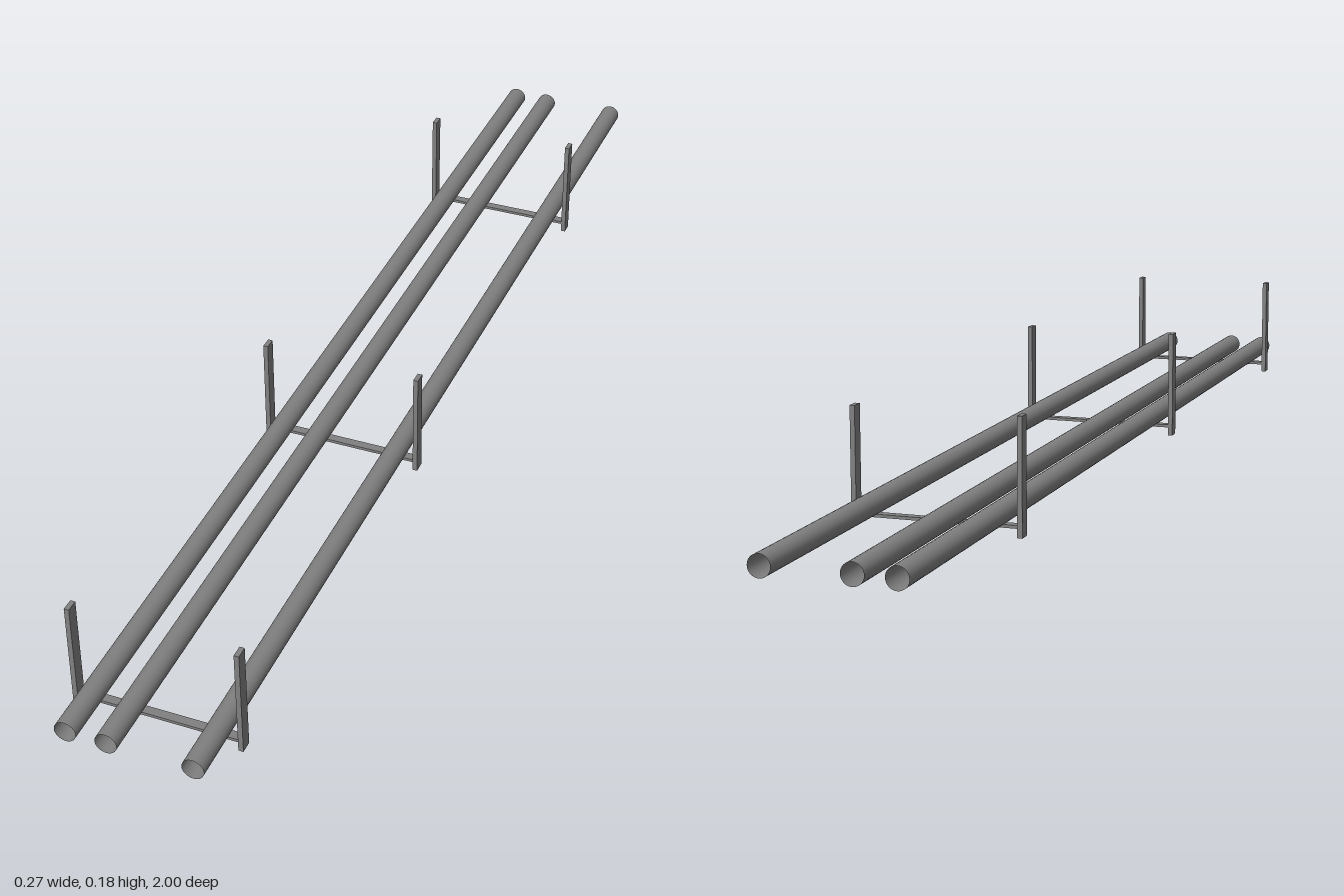
import * as THREE from 'three';

export function createModel() {
  const model = new THREE.Group();
  const metal = new THREE.MeshStandardMaterial({ color: 0x808080 });
  const pipeMetal = new THREE.MeshStandardMaterial({ color: 0x808080, side: THREE.DoubleSide });

  const postHeight = 0.184, postX = 0.133;
  const pipeRadius = 0.0175, barTop = 0.0187, barThickness = 0.005;

  function add(parent, name, geometry, material, x, y, z) {
    const mesh = new THREE.Mesh(geometry, material);
    mesh.name = name;
    mesh.position.set(x, y, z);
    parent.add(mesh);
  }

  // Open, thin-walled pipes resting on the crossbars
  const pipeGeometry = new THREE.CylinderGeometry(pipeRadius, pipeRadius, 2, 32, 1, true);
  pipeGeometry.rotateX(Math.PI / 2);
  [-0.101, -0.036, 0.101].forEach((x, i) =>
    add(model, `pipe${i + 1}`, pipeGeometry, pipeMetal, x, barTop + pipeRadius, 0));

  // U-shaped hangers: two flat posts joined by a crossbar
  const postGeometry = new THREE.BoxGeometry(0.008, postHeight, 0.02);
  const barGeometry = new THREE.BoxGeometry(postX * 2 - 0.008, barThickness, 0.015);
  [0.9, 0.2, -0.6].forEach((z, i) => {
    const hanger = new THREE.Group();
    hanger.name = `hanger${i + 1}`;
    hanger.position.z = z;
    add(hanger, 'leftPost', postGeometry, metal, postX, postHeight / 2, 0);
    add(hanger, 'rightPost', postGeometry, metal, -postX, postHeight / 2, 0);
    add(hanger, 'crossbar', barGeometry, metal, 0, barTop - barThickness / 2, 0);
    model.add(hanger);
  });

  return model;
}
